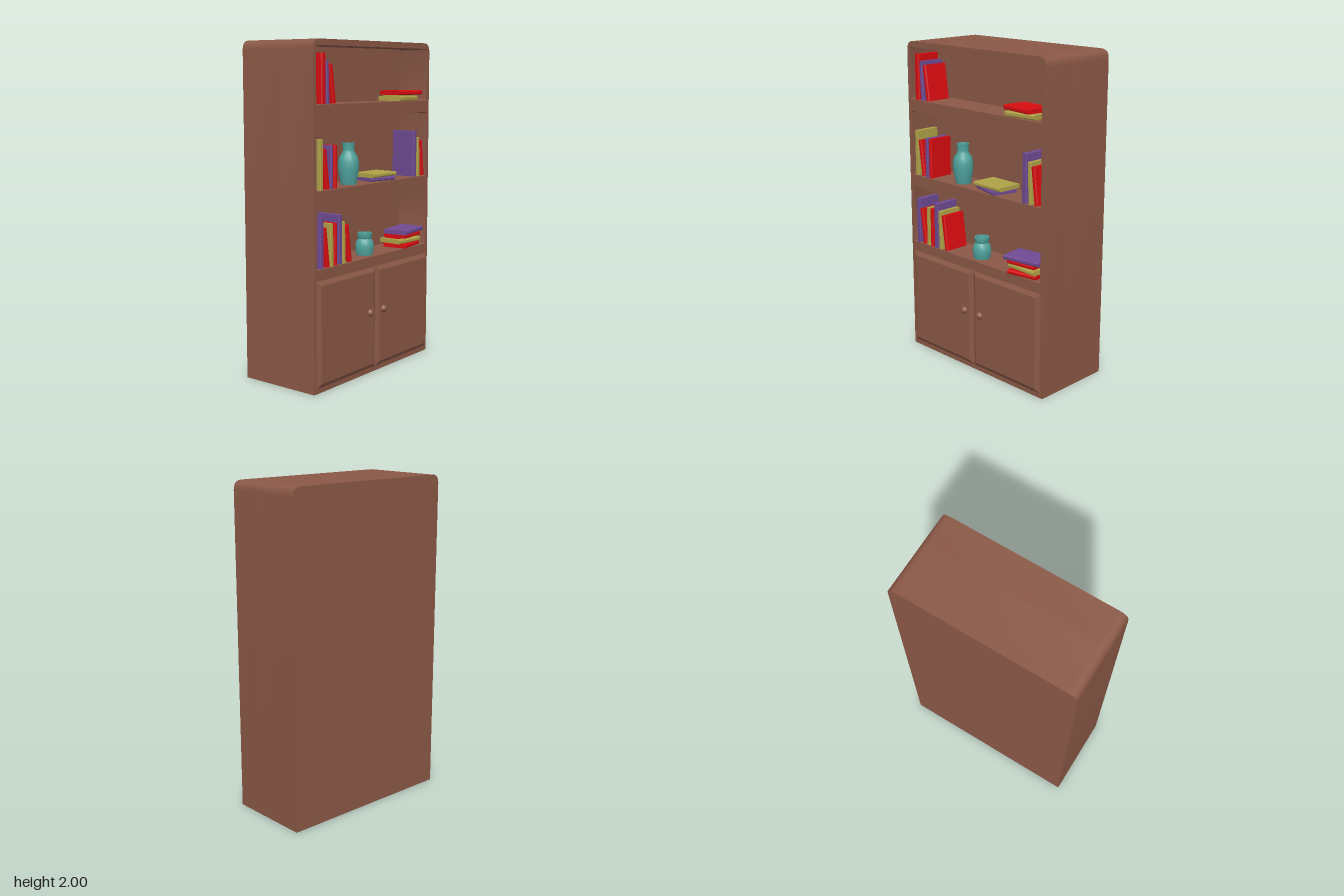
import * as THREE from 'three';
import { toCreasedNormals } from 'three/addons/utils/BufferGeometryUtils.js';

const material = (name, color) => {
  const m = new THREE.MeshStandardMaterial({ color });
  m.name = name;
  return m;
};

export function createModel() {
  const wood = material('brown wood', 0x8a5846);
  const red = material('red cover', 0xd80c10);
  const purple = material('purple cover', 0x6e4a92);
  const yellow = material('yellow cover', 0xada046);
  const teal = material('teal glaze', 0x4fa29d);

  const root = new THREE.Group();
  root.name = 'bookcase';
  const add = (name, geometry, mat, parent = root) => {
    const mesh = new THREE.Mesh(geometry, mat);
    mesh.name = name;
    parent.add(mesh);
    return mesh;
  };
  const extrude = (shape, depth) => toCreasedNormals(
    new THREE.ExtrudeGeometry(shape, { depth, bevelEnabled: false, curveSegments: 5 }), 0.5);

  // Cabinet outline with rounded upper corners
  const W = 0.575, R = 0.055, BACK = -0.285, INNER = 0.03, FRONT = 0.24;
  const outline = () => {
    const s = new THREE.Shape();
    s.moveTo(-W, 0);
    s.lineTo(W, 0);
    s.lineTo(W, 2 - R);
    s.quadraticCurveTo(W, 2, W - R, 2);
    s.lineTo(-W + R, 2);
    s.quadraticCurveTo(-W, 2, -W, 2 - R);
    s.closePath();
    return s;
  };
  // Shelf opening with tiny rounded corners
  const opening = (y0, y1, x = 0.548, r = 0.012) => {
    const p = new THREE.Path();
    p.moveTo(-x + r, y0);
    p.quadraticCurveTo(-x, y0, -x, y0 + r);
    p.lineTo(-x, y1 - r);
    p.quadraticCurveTo(-x, y1, -x + r, y1);
    p.lineTo(x - r, y1);
    p.quadraticCurveTo(x, y1, x, y1 - r);
    p.lineTo(x, y0 + r);
    p.quadraticCurveTo(x, y0, x - r, y0);
    p.closePath();
    return p;
  };
  const front = outline();
  front.holes.push(opening(0.717, 1.085), opening(1.162, 1.57), opening(1.642, 1.965));
  add('cabinetBack', extrude(outline(), INNER - BACK), wood).position.z = BACK;
  add('shelfFrame', extrude(front, FRONT - INNER), wood).position.z = INNER;

  // Doors: raised panels with sloping edges, each with a round knob
  for (const side of [-1, 1]) {
    const name = side > 0 ? 'left' : 'right';
    const w = 0.55, h = 0.625, t = 0.016, slope = 0.026;
    const geo = new THREE.BoxGeometry(w, h, t).toNonIndexed();
    const p = geo.attributes.position;
    for (let i = 0; i < p.count; i++) {
      if (p.getZ(i) < 0) continue;
      p.setX(i, p.getX(i) - Math.sign(p.getX(i)) * slope);
      p.setY(i, p.getY(i) - Math.sign(p.getY(i)) * slope);
    }
    geo.computeVertexNormals();
    add(name + 'Door', geo, wood).position.set(side * 0.278, 0.342, FRONT + t / 2);
    add(name + 'Knob', new THREE.SphereGeometry(0.024, 16, 12), wood)
      .position.set(side * 0.068, 0.382, 0.256);
  }

  // Book: a block whose spine (+z) has softened edges, standing on its base
  const bookGeometry = (w, h, d) => {
    const c = Math.min(0.006, w / 4), s = new THREE.Shape();
    s.moveTo(-w / 2, d / 2);
    s.lineTo(-w / 2, -d / 2 + c);
    s.lineTo(-w / 2 + c, -d / 2);
    s.lineTo(w / 2 - c, -d / 2);
    s.lineTo(w / 2, -d / 2 + c);
    s.lineTo(w / 2, d / 2);
    s.closePath();
    const g = new THREE.ExtrudeGeometry(s, { depth: h, bevelEnabled: false });
    return toCreasedNormals(g.rotateX(-Math.PI / 2), 0.3);
  };

  const low = 0.722, mid = 1.167, top = 1.645;
  // Upright books: colour, x of base centre, shelf height, width, height, lean
  const upright = [
    [red, -0.487, top, 0.038, 0.28, 0],
    [purple, -0.445, top, 0.025, 0.24, 0.03],
    [red, -0.39, top, 0.03, 0.22, 0.14],
    [yellow, -0.506, mid, 0.032, 0.284, 0],
    [red, -0.447, mid, 0.028, 0.228, 0.13],
    [purple, -0.414, mid, 0.026, 0.246, 0],
    [red, -0.38, mid, 0.024, 0.246, 0],
    [purple, 0.42, mid, 0.036, 0.288, 0],
    [yellow, 0.464, mid, 0.026, 0.244, 0.03],
    [red, 0.512, mid, 0.028, 0.222, 0.12],
    [purple, -0.506, low, 0.032, 0.288, 0],
    [red, -0.447, low, 0.028, 0.228, 0.13],
    [yellow, -0.414, low, 0.026, 0.246, 0],
    [red, -0.38, low, 0.024, 0.246, 0],
    [purple, -0.337, low, 0.036, 0.288, 0],
    [yellow, -0.298, low, 0.026, 0.244, 0.03],
    [red, -0.243, low, 0.03, 0.222, 0.14],
  ];
  const standing = new THREE.Group();
  standing.name = 'standingBooks';
  root.add(standing);
  for (const [mat, x, y, w, h, lean] of upright) {
    const book = add('standingBook', bookGeometry(w, h, 0.16), mat, standing);
    book.position.set(x, y + Math.sin(lean) * w / 2, 0.164);
    book.rotation.z = lean;
  }

  // Lying books: colour, x, bottom, z, length, thickness, turn
  const lying = [
    [yellow, 0.363, 1.645, 0.15, 0.215, 0.028, 0.08],
    [red, 0.365, 1.681, 0.17, 0.215, 0.027, -0.13],
    [purple, 0.112, 1.167, 0.155, 0.198, 0.024, -0.26],
    [yellow, 0.112, 1.191, 0.155, 0.228, 0.024, -0.03],
    [red, 0.39, 0.72, 0.165, 0.2, 0.024, 0.16],
    [yellow, 0.392, 0.746, 0.155, 0.215, 0.026, -0.06],
    [red, 0.39, 0.783, 0.17, 0.195, 0.024, 0.1],
    [purple, 0.397, 0.808, 0.178, 0.245, 0.027, 0.14],
  ];
  const stacks = new THREE.Group();
  stacks.name = 'stackedBooks';
  root.add(stacks);
  for (const [mat, x, y, z, length, t, turn] of lying) {
    const g = bookGeometry(t, length, 0.158).translate(0, -length / 2, 0).rotateZ(Math.PI / 2);
    const book = add('lyingBook', g, mat, stacks);
    book.position.set(x, y + t / 2, z);
    book.rotation.y = turn;
  }
  // Thin inner books fill the gaps below the upper lying books
  for (const [mat, x, y, t] of [[yellow, 0.363, 1.673, 0.008], [red, 0.39, 0.772, 0.011]]) {
    add('innerBook', new THREE.BoxGeometry(0.15, t, 0.11), mat, stacks).position.set(x, y + t / 2, 0.14);
  }

  // Vases turned from a profile, with a hollow neck
  const vase = (name, profile, x, y) => {
    const g = new THREE.LatheGeometry(profile.map(([r, h]) => new THREE.Vector2(r, h)), 16);
    add(name, toCreasedNormals(g, 0.7), teal).position.set(x, y, 0.165);
  };
  vase('tallVase', [[0, 0], [0.046, 0], [0.054, 0.04], [0.061, 0.09], [0.061, 0.13], [0.053, 0.165],
    [0.036, 0.19], [0.033, 0.205], [0.038, 0.245], [0.03, 0.245], [0.026, 0.2], [0, 0.19]], -0.164, 1.165);
  vase('smallVase', [[0, 0], [0.05, 0], [0.056, 0.03], [0.057, 0.06], [0.05, 0.085], [0.039, 0.1],
    [0.045, 0.115], [0.045, 0.135], [0.036, 0.135], [0.032, 0.1], [0, 0.09]], -0.004, 0.72);

  return root;
}
